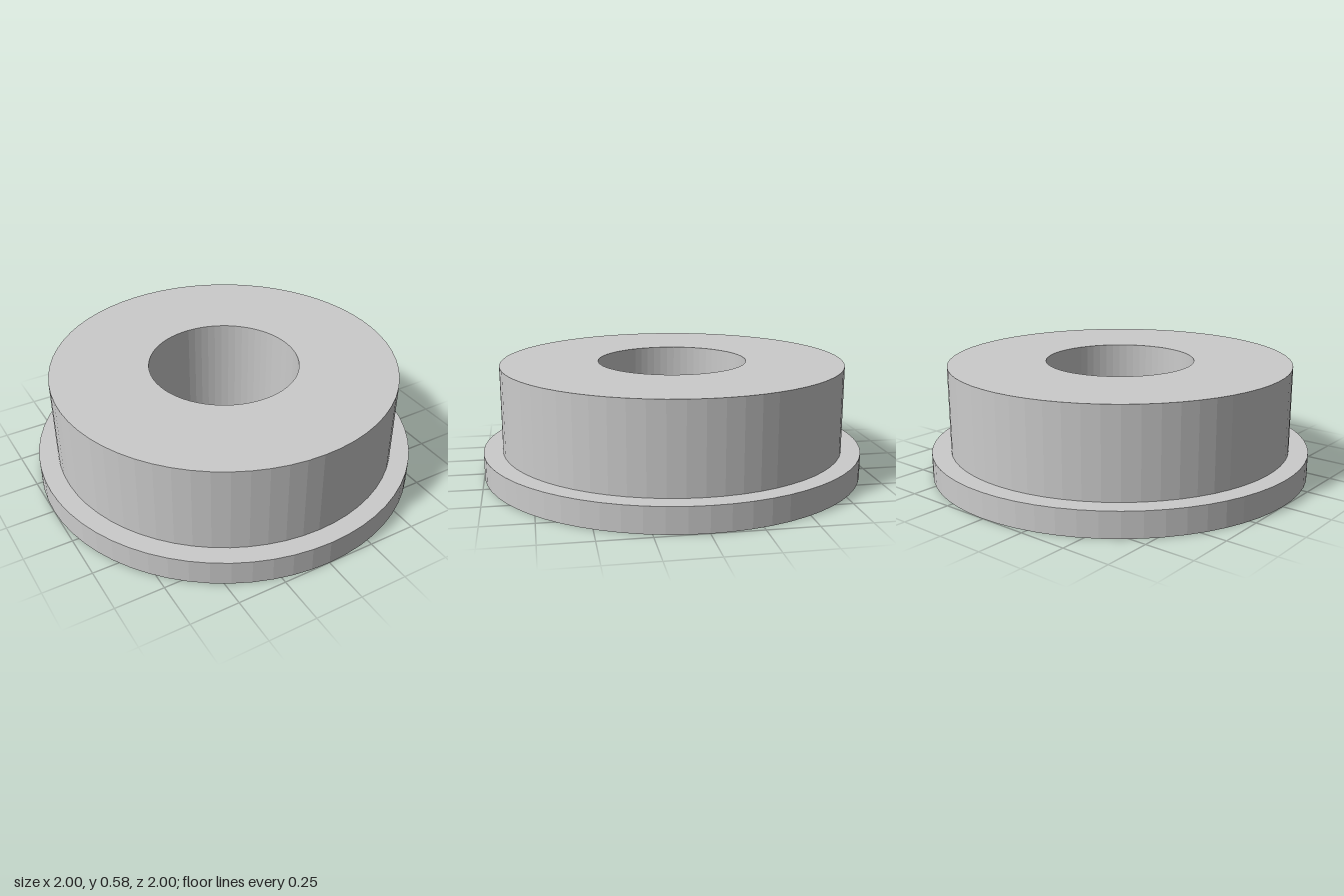
import * as THREE from 'three';

const BORE = 0.39, BODY = 0.9, FLANGE = 1;
const STEP = 0.13, HEIGHT = 0.58;
const SEGMENTS = 64;

export function createModel() {
  const group = new THREE.Group();
  group.name = 'flangedBushing';

  // Closed cross-section: underside, flange rim, step, body wall, top, bore
  const profile = [
    [BORE, 0], [FLANGE, 0], [FLANGE, STEP], [BODY, STEP],
    [BODY, HEIGHT], [BORE, HEIGHT], [BORE, 0],
  ].map(([r, y]) => new THREE.Vector2(r, y));

  const bushing = new THREE.Mesh(
    new THREE.LatheGeometry(profile, SEGMENTS),
    new THREE.MeshStandardMaterial({ color: 0xcccccc, flatShading: true }),
  );
  bushing.name = 'flangedRing';
  group.add(bushing);
  return group;
}
